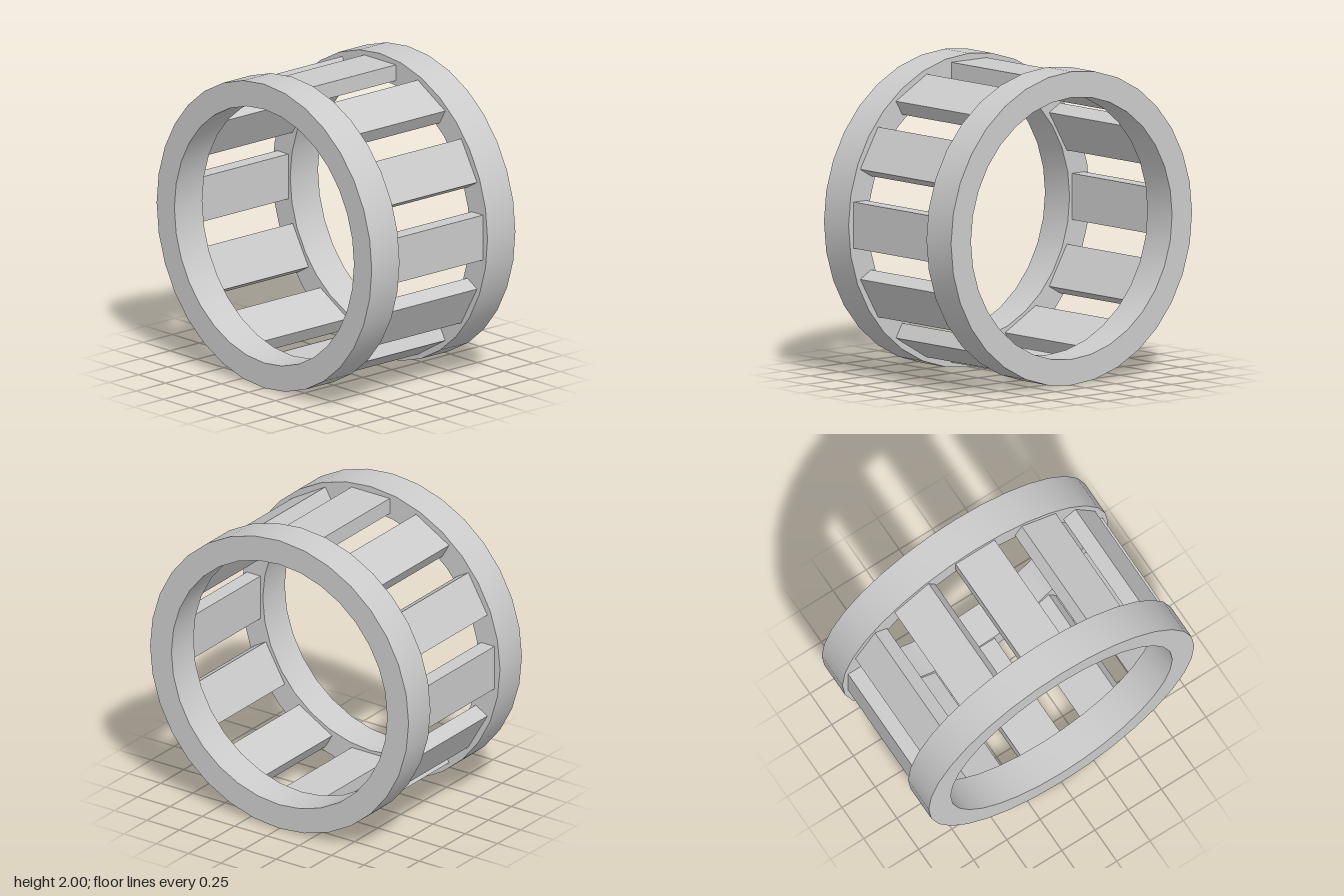
import * as THREE from 'three';
import { toCreasedNormals } from 'three/addons/utils/BufferGeometryUtils.js';

const SIDES = 32, OUTER = 1, INNER = 0.835;
const RING_IN = 0.377, RING_OUT = 0.615;
const SLATS = 12, SLAT_IN = 0.853, SLAT_OUT = 0.957, SLAT_WIDTH = 0.295;

// counter-clockwise regular polygon with a corner at the top
function polygon(radius) {
  return Array.from({ length: SIDES }, (_, i) => {
    const a = (i / SIDES) * Math.PI * 2;
    return new THREE.Vector2(-Math.sin(a) * radius, Math.cos(a) * radius);
  });
}

export function createModel() {
  const model = new THREE.Group();
  model.name = 'bearingCage';
  const material = new THREE.MeshStandardMaterial({ color: 0xcccccc });

  // end rings, smooth around with sharp rims
  const profile = new THREE.Shape(polygon(OUTER));
  profile.holes.push(new THREE.Path(polygon(INNER).reverse()));
  const ringGeometry = toCreasedNormals(
    new THREE.ExtrudeGeometry(profile, { depth: RING_OUT - RING_IN, bevelEnabled: false }),
    Math.PI / 6
  );
  for (const [name, z] of [['frontRing', RING_IN], ['backRing', -RING_OUT]]) {
    const ring = new THREE.Mesh(ringGeometry, material);
    ring.name = name;
    ring.position.set(0, 1, z);
    model.add(ring);
  }

  // flat slats joining the rings
  const slats = new THREE.Group();
  slats.name = 'slats';
  slats.position.y = 1;
  const slatGeometry = new THREE.BoxGeometry(SLAT_OUT - SLAT_IN, SLAT_WIDTH, RING_IN * 2);
  slatGeometry.translate((SLAT_OUT + SLAT_IN) / 2, 0, 0);
  for (let i = 0; i < SLATS; i++) {
    const slat = new THREE.Mesh(slatGeometry, material);
    slat.name = `slat${i + 1}`;
    slat.rotation.z = (i / SLATS) * Math.PI * 2;
    slats.add(slat);
  }
  model.add(slats);

  return model;
}
